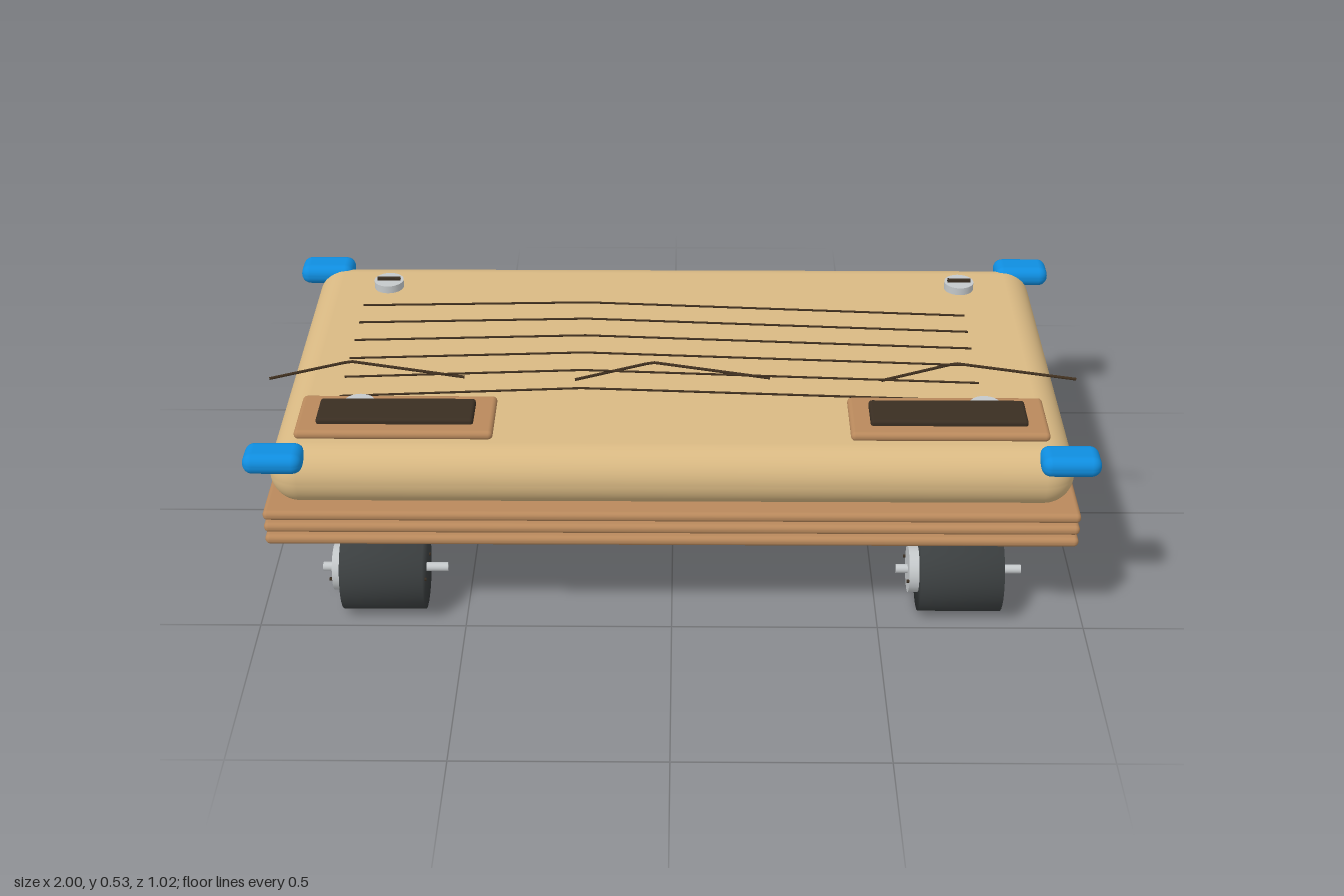
import * as THREE from 'three';
import { mergeVertices } from 'three/addons/utils/BufferGeometryUtils.js';
import { RoundedBoxGeometry } from 'three/addons/geometries/RoundedBoxGeometry.js';

function material(name, color) {
  const m = new THREE.MeshStandardMaterial({ color });
  m.name = name;
  return m;
}

export function createModel() {
  const model = new THREE.Group();
  model.name = 'rollingPlatform';
  const tan = material('tan', 0xd9b983);
  const wood = material('wood', 0xb9895c);
  const blue = material('blue', 0x0f8ee0);
  const dark = material('darkBrown', 0x3a2e22);
  const grain = material('grainBrown', 0x40301f);
  const rubber = material('rubber', 0x3a3e3f);
  const steel = material('steel', 0xc4c8ca);

  function add(parent, name, geometry, mat, x = 0, y = 0, z = 0) {
    const mesh = new THREE.Mesh(geometry, mat);
    mesh.name = name;
    mesh.position.set(x, y, z);
    parent.add(mesh);
    return mesh;
  }
  const rounded = (w, h, d, r, s = 4) => new RoundedBoxGeometry(w, h, d, s, r);
  const rodX = (r, length, sides = 24) =>
    new THREE.CylinderGeometry(r, r, length, sides).rotateZ(Math.PI / 2);

  // Thin straight-segmented strand through a few points
  function strand(name, points, radius) {
    const path = new THREE.CurvePath();
    const v = points.map((p) => new THREE.Vector3(...p));
    for (let i = 1; i < v.length; i++) path.add(new THREE.LineCurve3(v[i - 1], v[i]));
    add(model, name, new THREE.TubeGeometry(path, 24, radius, 6), grain);
  }

  // Thick padded top and the three stacked boards
  add(model, 'cushion', rounded(1.9, 0.15, 0.99, 0.072, 8), tan, 0, 0.405, 0);
  for (const y of [0.253, 0.287, 0.321]) {
    add(model, 'board', rounded(1.93, 0.025, 1.01, 0.0115), wood, 0, y, 0);
  }

  // Corner bumpers, screws and casters
  const bumper = rounded(0.14, 0.052, 0.086, 0.024);
  const screwHead = new THREE.CylinderGeometry(0.038, 0.038, 0.02, 24);
  const slot = new THREE.BoxGeometry(0.06, 0.008, 0.01);
  // Wheel shares its normals across the rims
  let wheel = rodX(0.103, 0.2, 32);
  wheel.deleteAttribute('normal');
  wheel.deleteAttribute('uv');
  wheel = mergeVertices(wheel);
  wheel.computeVertexNormals();

  for (const sx of [-1, 1]) {
    for (const sz of [-1, 1]) {
      add(model, 'cornerBumper', bumper, blue, sx * 0.93, 0.463, sz * 0.469);
      add(model, 'screwHead', screwHead, steel, sx * 0.746, 0.51, sz * 0.308);
      add(model, 'screwSlot', slot, dark, sx * 0.746, 0.523, sz * 0.308);

      const caster = new THREE.Group();
      caster.name = 'caster';
      caster.position.set(sx * 0.7, 0.103, sz * 0.397);
      model.add(caster);
      add(caster, 'bracket', rounded(0.2, 0.17, 0.072, 0.015), steel, 0, 0.095, 0);
      add(caster, 'wheel', wheel, rubber);
      add(caster, 'axle', rodX(0.011, 0.305), steel);
      add(caster, 'hub', rodX(0.058, 0.024), steel, -0.112, 0, 0);
      for (const a of [0, Math.PI]) {
        add(caster, 'hubBolt', rodX(0.004, 0.235, 8), dark, -0.013, 0, Math.cos(a) * 0.053);
      }
    }

    // Front foot pads
    const x = sx * 0.652;
    add(model, 'padFrame', rounded(0.466, 0.023, 0.172, 0.011), wood, x, 0.506, 0.354);
    add(model, 'padInset', rounded(0.37, 0.05, 0.1, 0.008, 2), dark, x, 0.506, 0.354);
  }

  // Wood grain lines running across the top
  for (let i = 0; i < 6; i++) {
    const z = -0.195 + i * 0.0905;
    const bend = -0.205 + i * 0.086;
    const end = -0.15 + i * 0.084;
    strand('grainLine', [[-0.8, 0.506, z], [-0.22, 0.511, bend], [0.745, 0.506, end]], 0.003);
  }

  // Bent cracks
  for (const x of [-0.8, -0.05, 0.7]) {
    strand('crack', [[x - 0.19, 0.488, 0.147], [x, 0.493, 0.07], [x + 0.29, 0.489, 0.138]], 0.004);
  }
  return model;
}
